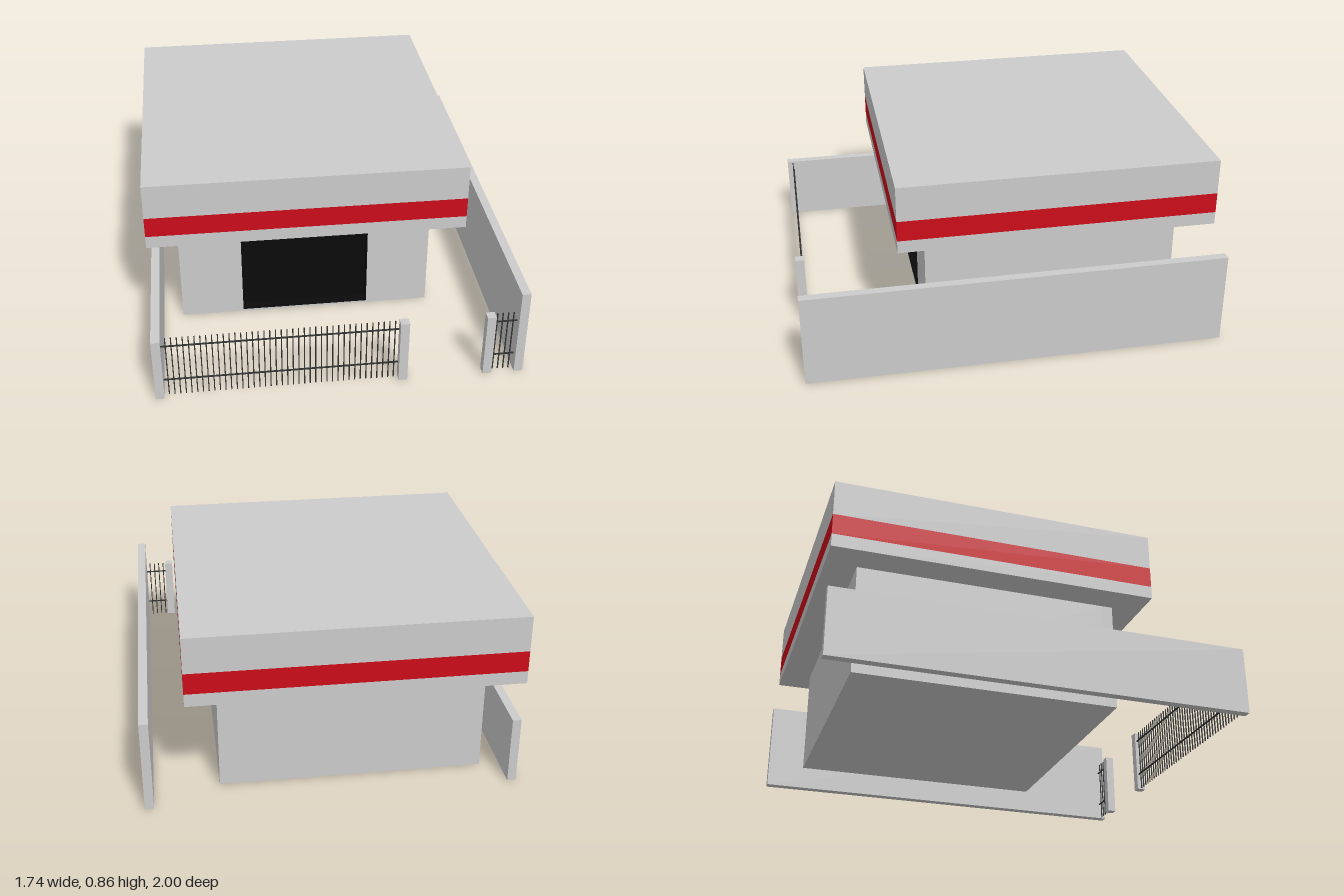
import * as THREE from 'three';

const grey = new THREE.MeshStandardMaterial({ color: 0xcccccc });
const red = new THREE.MeshStandardMaterial({ color: 0xcc0c1a });
const black = new THREE.MeshStandardMaterial({ color: 0x0a0a0a });
const iron = new THREE.MeshStandardMaterial({ color: 0x333333 });

// Box given by its limits on each axis
function block(parent, name, [x0, x1], [y0, y1], [z0, z1], material = grey) {
  const mesh = new THREE.Mesh(new THREE.BoxGeometry(x1 - x0, y1 - y0, z1 - z0), material);
  mesh.position.set((x0 + x1) / 2, (y0 + y1) / 2, (z0 + z1) / 2);
  mesh.name = name;
  parent.add(mesh);
  return mesh;
}

function group(parent, name) {
  const g = new THREE.Group();
  g.name = name;
  parent.add(g);
  return g;
}

function rectangle(PathType, x0, x1, y0, y1) {
  return new PathType([[x0, y0], [x1, y0], [x1, y1], [x0, y1]].map(([x, y]) => new THREE.Vector2(x, y)));
}

// Two rails and a row of evenly spaced upright bars
function fence(parent, name, x0, x1, firstBar, lastBar, count) {
  const g = group(parent, name);
  for (const y of [0.085, 0.28]) block(g, 'rail', [x0, x1], [y - 0.003, y + 0.003], [0.964, 0.97], iron);
  for (let i = 0; i < count; i++) {
    const x = firstBar + (lastBar - firstBar) * i / (count - 1);
    block(g, 'bar', [x - 0.0025, x + 0.0025], [0, 0.33], [0.968, 0.973], iron);
  }
}

export function createModel() {
  const model = new THREE.Group();
  model.name = 'building';

  // Main body, with a front wall pierced by the doorway
  const front = 0.39, recess = 0.05, inner = front - recess;
  const body = group(model, 'body');
  block(body, 'bodyCore', [-0.725, 0.518], [0.003, 0.525], [-0.855, inner]);
  const wall = rectangle(THREE.Shape, -0.725, 0.518, 0.003, 0.525);
  wall.holes.push(rectangle(THREE.Path, -0.42, 0.21, 0.013, 0.448));
  const frontWall = new THREE.Mesh(
    new THREE.ExtrudeGeometry(wall, { depth: recess, bevelEnabled: false }), grey);
  frontWall.position.z = inner;
  frontWall.name = 'frontWall';
  body.add(frontWall);

  // Dark doorway: back panel and thin linings
  const door = group(model, 'doorway');
  const t = 0.004, depth = [inner, front + 0.001];
  block(door, 'doorPanel', [-0.42, 0.21], [0.013, 0.448], [inner, inner + t], black);
  block(door, 'jamb', [-0.42, -0.42 + t], [0.013, 0.448], depth, black);
  block(door, 'jamb', [0.21 - t, 0.21], [0.013, 0.448], depth, black);
  block(door, 'sill', [-0.42, 0.21], [0.013, 0.013 + t], depth, black);
  block(door, 'lintel', [-0.42, 0.21], [0.448 - t, 0.448], depth, black);

  // Overhanging roof in three flush layers
  const roof = group(model, 'roof');
  const roofX = [-0.87, 0.665], roofZ = [-1, 0.533];
  block(roof, 'roofBase', roofX, [0.525, 0.587], roofZ);
  block(roof, 'roofBand', roofX, [0.587, 0.688], roofZ, red);
  block(roof, 'roofTop', roofX, [0.688, 0.86], roofZ);

  // Side boundary walls and gate posts
  block(model, 'lowSideWall', [-0.863, -0.822], [0, 0.33], [-1, 1]);
  block(model, 'tallSideWall', [0.825, 0.867], [0, 0.45], [-1, 1]);
  block(model, 'gatePost', [0.27, 0.312], [0, 0.33], [0.957, 1]);
  block(model, 'gatePost', [0.674, 0.716], [0, 0.33], [0.957, 1]);

  // Front fences on either side of the entrance gap
  fence(model, 'longFence', -0.822, 0.27, -0.8, 0.25, 41);
  fence(model, 'shortFence', 0.716, 0.825, 0.728, 0.805, 4);

  return model;
}
